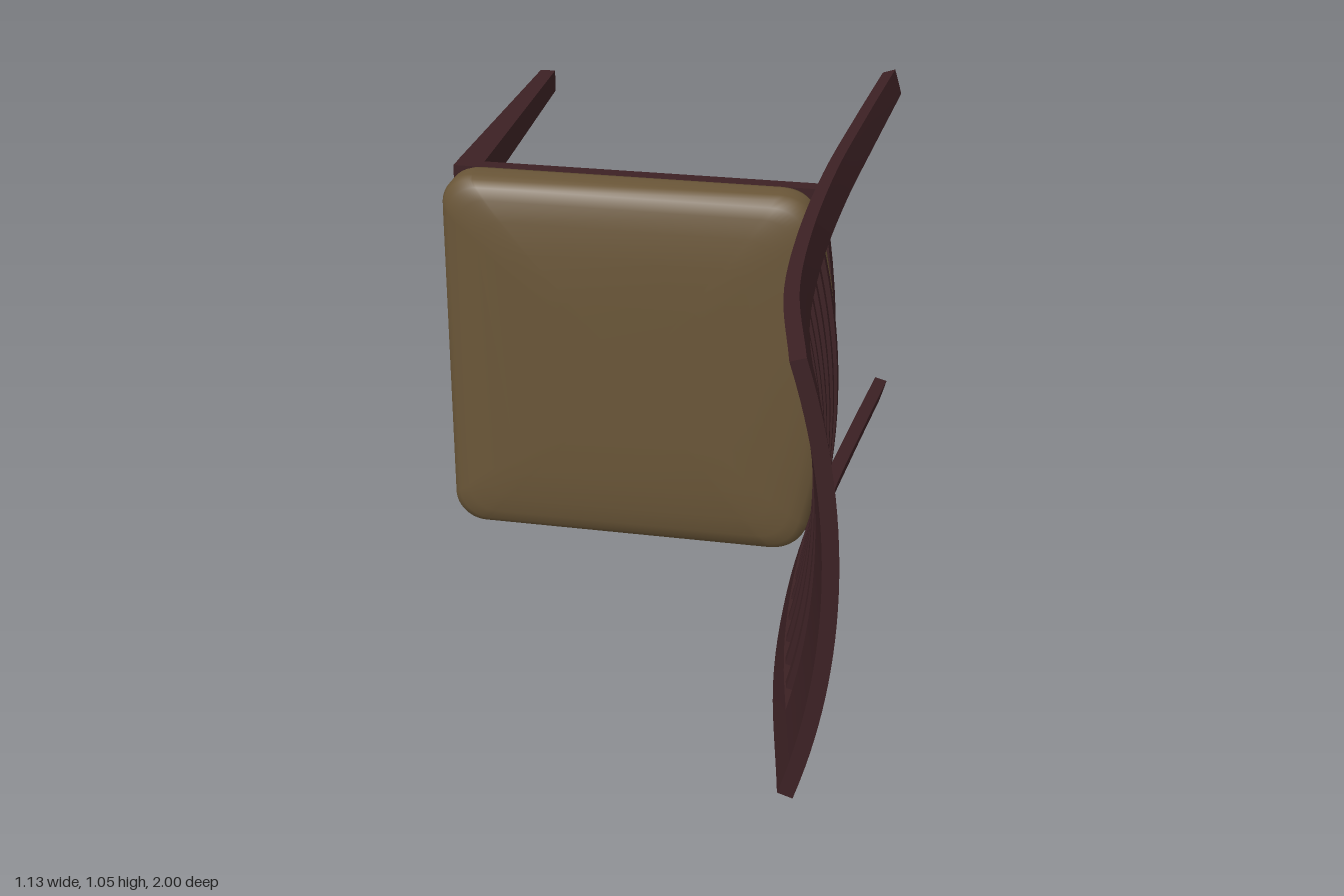
import * as THREE from 'three';

const MID = 0.525;   // chair's centre line in y
const R = 1.73;      // radius of the bowed back
const THICK = 0.036; // thickness of the back frame

// Back frame at even steps of z from -1 to 1: (back face x at the centre line, half width, post angle)
const backCurve = new THREE.CatmullRomCurve3([
  [0.548, 0.52, 0.042], [0.508, 0.508, 0.048], [0.473, 0.496, 0.052],
  [0.462, 0.489, 0.052], [0.487, 0.5, 0.052], [0.562, 0.525, 0.052],
].map(p => new THREE.Vector3(...p)), false, 'catmullrom', 0.5);

function backAt(z) {
  const p = backCurve.getPoint(THREE.MathUtils.clamp((z + 1) / 2, 0, 1));
  const outer = Math.asin(p.y / R);
  return { x: p.x, outer, inner: outer - p.z };
}

// Unit box whose vertices are moved by a rule taking (u, v, w) in 0..1
function mappedBox(ny, nz, rule) {
  const geo = new THREE.BoxGeometry(1, 1, 1, 1, ny, nz);
  const pos = geo.attributes.position;
  for (let i = 0; i < pos.count; i++) {
    pos.setXYZ(i, ...rule(pos.getX(i) + 0.5, pos.getY(i) + 0.5, pos.getZ(i) + 0.5));
  }
  geo.computeVertexNormals();
  return geo;
}

// Piece of the bowed back: d0..d1 is the depth in from the back face, range gives its end angles
function bowedPiece(ny, nz, z0, z1, d0, d1, range) {
  return mappedBox(ny, nz, (u, v, w) => {
    const z = z0 + (z1 - z0) * w;
    const at = backAt(z);
    const [a0, a1] = range(at);
    const a = a0 + (a1 - a0) * v;
    const r = R - (d1 + (d0 - d1) * u);
    return [at.x - R + r * Math.cos(a), MID + r * Math.sin(a), z];
  });
}

// Seat outline, square at the front (-x) and bowed at the back (+x)
function seatShape(x0, x1, bow, half, radius) {
  const s = new THREE.Shape();
  const y0 = MID - half, y1 = MID + half;
  s.moveTo(x0 + radius, y0);
  s.lineTo(x1 - radius, y0);
  s.quadraticCurveTo(x1, y0, x1 + bow * 0.25, y0 + radius);
  s.quadraticCurveTo(x1 + bow * 1.75, MID, x1 + bow * 0.25, y1 - radius);
  s.quadraticCurveTo(x1, y1, x1 - radius, y1);
  s.lineTo(x0 + radius, y1);
  s.absarc(x0 + radius, y1 - radius, radius, Math.PI / 2, Math.PI, false);
  s.lineTo(x0, y0 + radius);
  s.absarc(x0 + radius, y0 + radius, radius, Math.PI, Math.PI * 1.5, false);
  return s;
}

// Padded cushion built from inset loops of the outline
function cushionGeometry() {
  const outline = seatShape(-0.567, 0.36, 0.07, 0.486, 0.08).getPoints(10);
  if (outline[0].distanceTo(outline[outline.length - 1]) < 1e-4) outline.pop();
  const n = outline.length, cx = -0.07;
  const levels = [[0.48, -0.09], [0.02, -0.09], [0.005, -0.082], [0, -0.06], [0, -0.01], [0.006, 0.01],
    [0.022, 0.025], [0.05, 0.036], [0.1, 0.045], [0.18, 0.053], [0.3, 0.055], [0.485, 0.055]];
  const verts = [], index = [];
  levels.forEach(([inset, z], k) => {
    const s = 1 - inset / 0.49;
    outline.forEach((p, i) => {
      verts.push(cx + (p.x - cx) * s, MID + (p.y - MID) * s, z);
      if (k === 0) return;
      const j = (i + 1) % n, a = (k - 1) * n, b = k * n;
      index.push(a + i, a + j, b + j, a + i, b + j, b + i);
    });
  });
  const last = (levels.length - 1) * n;
  for (let i = 1; i < n - 1; i++) {
    index.push(last, last + i, last + i + 1, 0, i + 1, i);
  }
  const geo = new THREE.BufferGeometry();
  geo.setAttribute('position', new THREE.Float32BufferAttribute(verts, 3));
  geo.setIndex(index);
  geo.computeVertexNormals();
  return geo;
}

export function createModel() {
  const group = new THREE.Group();
  const wood = new THREE.MeshStandardMaterial({ color: 0x3c2124 });
  wood.name = 'darkWood';
  const fabric = new THREE.MeshStandardMaterial({ color: 0x6a5638 });
  fabric.name = 'oliveFabric';
  const add = (name, geo, mat) => {
    const mesh = new THREE.Mesh(geo, mat);
    mesh.name = name;
    group.add(mesh);
  };

  // Seat
  add('cushion', cushionGeometry(), fabric);
  const board = new THREE.ExtrudeGeometry(seatShape(-0.56, 0.355, 0.065, 0.478, 0.001),
    { depth: 0.042, bevelEnabled: false, curveSegments: 14 });
  board.translate(0, 0, -0.132);
  add('seatBoard', board, wood);

  // Legs and back posts, mirrored across the centre line
  for (const side of [-1, 1]) {
    const label = side > 0 ? 'upper' : 'lower';
    add(label + 'FrontLeg', mappedBox(1, 1, (u, v, w) => {
      const x0 = -0.548 - 0.012 * w, x1 = -0.506 + 0.016 * w;
      const inner = 0.418 - 0.023 * w, outer = 0.478;
      const t = side > 0 ? v : 1 - v;
      return [x0 + (x1 - x0) * u, MID + side * (inner + (outer - inner) * t), -0.94 + 0.81 * w];
    }), wood);
    add(label + 'BackPost', bowedPiece(2, 32, -1, 1, 0, THICK,
      at => side > 0 ? [at.inner, at.outer] : [-at.outer, -at.inner]), wood);
  }

  // Top rail and slats between the posts
  add('topRail', bowedPiece(24, 4, 0.825, 1, 0, THICK, at => [-at.inner, at.inner]), wood);
  for (let i = 0; i < 8; i++) {
    const z = 0.108 + i * 0.0895;
    add('slat' + (i + 1), bowedPiece(20, 1, z - 0.012, z + 0.012, 0.008, 0.032,
      at => [-at.inner - 0.005, at.inner + 0.005]), wood);
  }
  return group;
}
